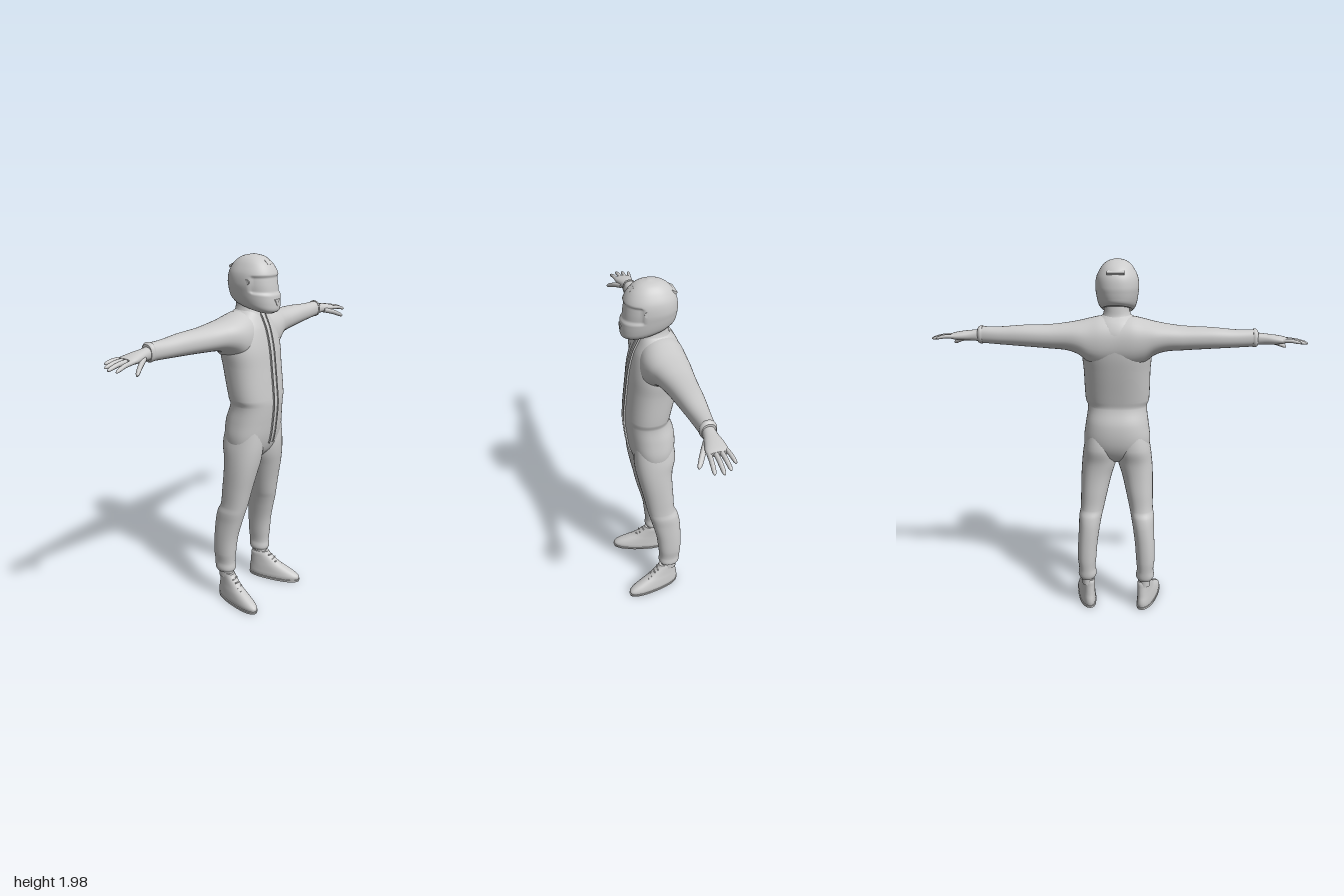
import * as THREE from 'three';

const material = new THREE.MeshStandardMaterial({ color: 0xcccccc });

// Smoothly interpolates one column of a section table at position t.
function sample(rows, t, col) {
  let i = 0;
  while (i < rows.length - 2 && t > rows[i + 1][0]) i++;
  const slope = (k) => {
    const a = rows[Math.max(k - 1, 0)], b = rows[Math.min(k + 1, rows.length - 1)];
    return (b[col] - a[col]) / (b[0] - a[0]);
  };
  const p = rows[i], q = rows[i + 1], d = q[0] - p[0];
  const s = THREE.MathUtils.clamp((t - p[0]) / d, 0, 1), s2 = s * s, s3 = s2 * s;
  return (2 * s3 - 3 * s2 + 1) * p[col] + (s3 - 2 * s2 + s) * d * slope(i)
    + (3 * s2 - 2 * s3) * q[col] + (s3 - s2) * d * slope(i + 1);
}

// Skins rounded sections [t, aMin, aMax, bMin, bMax] along an axis.
// axis x: a=y b=z; axis y: a=z b=x; axis z: a=x b=y. bend(v) may move each point.
function loft(name, rows, axis, { sides = 32, steps = 5, power = 2.2, bend } = {}) {
  const pos = [], index = [], rings = [];
  const ax = 'xyz'.indexOf(axis);
  const put = (t, a, b) => {
    const c = [0, 0, 0];
    c[ax] = t; c[(ax + 1) % 3] = a; c[(ax + 2) % 3] = b;
    const v = new THREE.Vector3(...c);
    if (bend) bend(v);
    pos.push(v.x, v.y, v.z);
    return pos.length / 3 - 1;
  };
  const ring = (t) => {
    const [a0, a1, b0, b1] = [1, 2, 3, 4].map((c) => sample(rows, t, c));
    const first = pos.length / 3;
    for (let k = 0; k < sides; k++) {
      const w = (k / sides) * Math.PI * 2, c = Math.cos(w), s = Math.sin(w);
      put(t, (a0 + a1) / 2 + (a1 - a0) / 2 * Math.sign(c) * Math.abs(c) ** (2 / power),
        (b0 + b1) / 2 + (b1 - b0) / 2 * Math.sign(s) * Math.abs(s) ** (2 / power));
    }
    return first;
  };
  rows.forEach((r, i) => {
    const n = i < rows.length - 1 ? steps : 1;
    for (let s = 0; s < n; s++) rings.push(ring(n === 1 ? r[0] : r[0] + (rows[i + 1][0] - r[0]) * s / n));
  });
  for (let r = 0; r < rings.length - 1; r++) for (let k = 0; k < sides; k++) {
    const n = (k + 1) % sides, p = rings[r], q = rings[r + 1];
    index.push(p + k, p + n, q + k, p + n, q + n, q + k);
  }
  for (const [r, end] of [[rows[0], false], [rows.at(-1), true]]) {
    const first = ring(r[0]), mid = put(r[0], (r[1] + r[2]) / 2, (r[3] + r[4]) / 2);
    for (let k = 0; k < sides; k++) {
      const a = first + k, b = first + (k + 1) % sides;
      index.push(mid, end ? a : b, end ? b : a);
    }
  }
  const g = new THREE.BufferGeometry();
  g.setAttribute('position', new THREE.Float32BufferAttribute(pos, 3));
  g.setIndex(index);
  g.computeVertexNormals();
  return part(name, g);
}

function part(name, geometry) {
  const m = new THREE.Mesh(geometry, material);
  m.name = name;
  return m;
}

// Copies a left part to the right side, turning its faces back outward.
function mirrored(mesh) {
  const g = mesh.geometry.clone().scale(-1, 1, 1);
  const id = g.index.array;
  for (let i = 0; i < id.length; i += 3) [id[i], id[i + 1]] = [id[i + 1], id[i]];
  g.computeVertexNormals();
  return part(mesh.name.replace('left', 'right'), g);
}

const torsoRows = [
  [0.88, -0.06, 0.05, -0.09, 0.09], [0.92, -0.105, 0.085, -0.16, 0.16],
  [1.0, -0.135, 0.113, -0.184, 0.184], [1.1, -0.135, 0.128, -0.174, 0.174],
  [1.19, -0.107, 0.136, -0.163, 0.163], [1.23, -0.112, 0.135, -0.175, 0.175],
  [1.4, -0.148, 0.118, -0.181, 0.181], [1.5, -0.165, 0.106, -0.187, 0.187],
  [1.6, -0.165, 0.082, -0.165, 0.165], [1.66, -0.14, 0.055, -0.12, 0.12], [1.7, -0.1, 0.035, -0.07, 0.07]];

const armRows = [
  [0, 1.42, 1.69, -0.17, 0.065], [0.08, 1.42, 1.692, -0.172, 0.07], [0.14, 1.44, 1.68, -0.17, 0.07],
  [0.2, 1.487, 1.666, -0.165, 0.055], [0.26, 1.51, 1.656, -0.158, 0.032], [0.35, 1.519, 1.646, -0.15, 0.008],
  [0.5, 1.53, 1.641, -0.14, -0.015], [0.62, 1.538, 1.632, -0.128, -0.032], [0.72, 1.545, 1.632, -0.117, -0.043]];

const legRows = [
  [0.18, -0.14, -0.035, 0.125, 0.208], [0.2, -0.147, -0.025, 0.115, 0.219], [0.24, -0.15, -0.028, 0.121, 0.215],
  [0.3, -0.155, -0.022, 0.116, 0.221], [0.4, -0.155, -0.01, 0.108, 0.219], [0.5, -0.15, 0.014, 0.094, 0.214],
  [0.56, -0.138, 0.03, 0.083, 0.213], [0.6, -0.12, 0.04, 0.074, 0.206], [0.7, -0.113, 0.06, 0.052, 0.204],
  [0.8, -0.108, 0.082, 0.028, 0.202], [0.88, -0.112, 0.097, 0.004, 0.197],
  [0.96, -0.128, 0.104, 0.0, 0.187], [1.08, -0.11, 0.1, 0.03, 0.16]];

// Helmet: lower rim tilts up to the back, visor area sits slightly recessed.
function helmetBend(v) {
  const { smoothstep } = THREE.MathUtils;
  const visor = smoothstep(v.y, 1.785, 1.8) * (1 - smoothstep(v.y, 1.87, 1.885)) * smoothstep(v.z, 0.045, 0.06);
  v.z -= 0.009 * visor;
  v.x *= 1 - 0.06 * visor;
  v.y += 0.3 * (0.1 - v.z) * (1 - smoothstep(v.y, 1.66, 1.87));
}

function makeHelmet() {
  const g = new THREE.Group();
  g.name = 'helmet';
  g.add(loft('helmetShell', [
    [1.69, -0.125, 0.115, -0.08, 0.08], [1.71, -0.137, 0.14, -0.095, 0.095], [1.74, -0.142, 0.145, -0.104, 0.104],
    [1.79, -0.146, 0.141, -0.111, 0.111], [1.84, -0.148, 0.135, -0.115, 0.115], [1.89, -0.141, 0.124, -0.109, 0.109],
    [1.93, -0.12, 0.102, -0.09, 0.09], [1.958, -0.09, 0.073, -0.068, 0.068], [1.974, -0.057, 0.043, -0.043, 0.043],
    [1.983, -0.012, 0.004, -0.008, 0.008]], 'y', { sides: 64, steps: 9, bend: helmetBend }));
  // Vents on chin, crown and back
  const chin = part('chinVent', new THREE.CylinderGeometry(0.024, 0.024, 0.012, 3));
  chin.rotation.x = Math.PI / 2;
  chin.position.set(0, 1.75, 0.141);
  const crown = part('crownVent', new THREE.BoxGeometry(0.036, 0.008, 0.03));
  crown.position.set(0, 1.943, 0.085);
  crown.rotation.x = 0.75;
  const back = part('rearVent', new THREE.BoxGeometry(0.09, 0.012, 0.03));
  back.position.set(0, 1.92, -0.12);
  back.rotation.x = -0.5;
  g.add(chin, crown, back);
  for (const s of [-1, 1]) {
    const pivot = part('visorPivot', new THREE.CylinderGeometry(0.014, 0.016, 0.008, 20));
    pivot.rotation.z = Math.PI / 2;
    pivot.position.set(s * 0.108, 1.85, 0.03);
    g.add(pivot);
  }
  return g;
}

// Strip that follows the front of the suit.
function zipStrip(name, x, width, lift) {
  const g = new THREE.BoxGeometry(width, 0.72, 0.02, 1, 40, 1).translate(x, 1.325, 0);
  const p = g.attributes.position;
  for (let i = 0; i < p.count; i++) p.setZ(i, p.getZ(i) - 0.01 + lift + sample(torsoRows, p.getY(i), 2));
  g.computeVertexNormals();
  return part(name, g);
}

function leftParts() {
  const list = [loft('leftLeg', legRows, 'y')];
  // Shoe: toes turned outward
  const splay = (v) => { v.x += 0.22 * (v.z + 0.05); };
  list.push(loft('leftShoe', [
    [0.008, -0.14, 0.168, 0.124, 0.218], [0.03, -0.144, 0.172, 0.122, 0.22], [0.05, -0.143, 0.15, 0.124, 0.218],
    [0.075, -0.138, 0.1, 0.127, 0.214], [0.1, -0.135, 0.05, 0.13, 0.209], [0.13, -0.132, 0.01, 0.132, 0.205],
    [0.155, -0.13, -0.018, 0.133, 0.202], [0.168, -0.125, -0.025, 0.137, 0.198]], 'y', { bend: splay, power: 2.3 }));
  list.push(loft('leftSole', [
    [0, -0.143, 0.172, 0.12, 0.222], [0.014, -0.146, 0.176, 0.118, 0.224]], 'y', { bend: splay, power: 2.3, steps: 1 }));
  list.push(loft('leftAnkle', [[0.14, -0.13, -0.04, 0.134, 0.198], [0.22, -0.13, -0.04, 0.134, 0.198]], 'y'));
  for (let i = 0; i < 4; i++) {
    const z = -0.012 + i * 0.021, y = 0.146 - i * 0.018;
    const lace = new THREE.CapsuleGeometry(0.004, 0.034, 4, 8)
      .rotateZ(Math.PI / 2 + (i % 2 ? 0.2 : -0.2)).translate(0.169 + 0.22 * (z + 0.05), y, z);
    list.push(part('leftLace', lace));
  }
  // Glove: cuff, palm, fingers and thumb
  list.push(loft('leftGloveCuff', [
    [0.712, 1.542, 1.636, -0.12, -0.04], [0.724, 1.541, 1.637, -0.121, -0.039], [0.736, 1.546, 1.628, -0.114, -0.046]], 'x'));
  list.push(loft('leftPalm', [
    [0.72, 1.552, 1.618, -0.108, -0.05], [0.77, 1.556, 1.612, -0.112, -0.042], [0.82, 1.557, 1.606, -0.122, -0.03],
    [0.86, 1.56, 1.599, -0.125, -0.022], [0.885, 1.566, 1.592, -0.118, -0.03]], 'x'));
  const finger = (name, x0, y0, z0, x1, y1, z1, r) => {
    const row = (f, k) => {
      const y = y0 + (y1 - y0) * f + 0.006 * Math.sin(f * Math.PI), z = z0 + (z1 - z0) * f;
      return [x0 + (x1 - x0) * f, y - r * k, y + r * k, z - r * k, z + r * k];
    };
    list.push(loft(name, [row(0, 1), row(0.5, 0.95), row(0.85, 0.8), row(0.96, 0.5), row(1, 0.1)], 'x', { sides: 14, steps: 4, power: 2 }));
  };
  finger('leftLittleFinger', 0.85, 1.58, -0.112, 0.955, 1.572, -0.128, 0.0105);
  finger('leftRingFinger', 0.86, 1.58, -0.088, 0.985, 1.564, -0.096, 0.0115);
  finger('leftMiddleFinger', 0.86, 1.58, -0.062, 1.0, 1.56, -0.062, 0.012);
  finger('leftIndexFinger', 0.86, 1.578, -0.036, 0.985, 1.555, -0.024, 0.0115);
  finger('leftThumb', 0.78, 1.574, -0.052, 0.9, 1.528, 0.016, 0.0155);
  return list;
}

export function createModel() {
  const model = new THREE.Group();
  model.name = 'suitedFigure';
  const armSpan = [...armRows.slice(1).reverse().map(([x, ...r]) => [-x, ...r]), ...armRows];
  model.add(
    loft('torso', torsoRows, 'y', { sides: 48, power: 2.3 }),
    loft('sleevesAndShoulders', armSpan, 'x', { sides: 40 }),
    loft('collar', [
      [1.64, -0.135, 0.06, -0.105, 0.105], [1.69, -0.11, 0.045, -0.078, 0.078],
      [1.72, -0.105, 0.035, -0.068, 0.068], [1.79, -0.1, 0.03, -0.065, 0.065]], 'y'),
    zipStrip('zipPlacket', 0.006, 0.036, 0.003),
    zipStrip('zipEdge', -0.011, 0.006, 0.008),
    zipStrip('zipEdge', 0.023, 0.006, 0.008),
    makeHelmet());
  for (const p of leftParts()) model.add(p, mirrored(p));
  return model;
}
